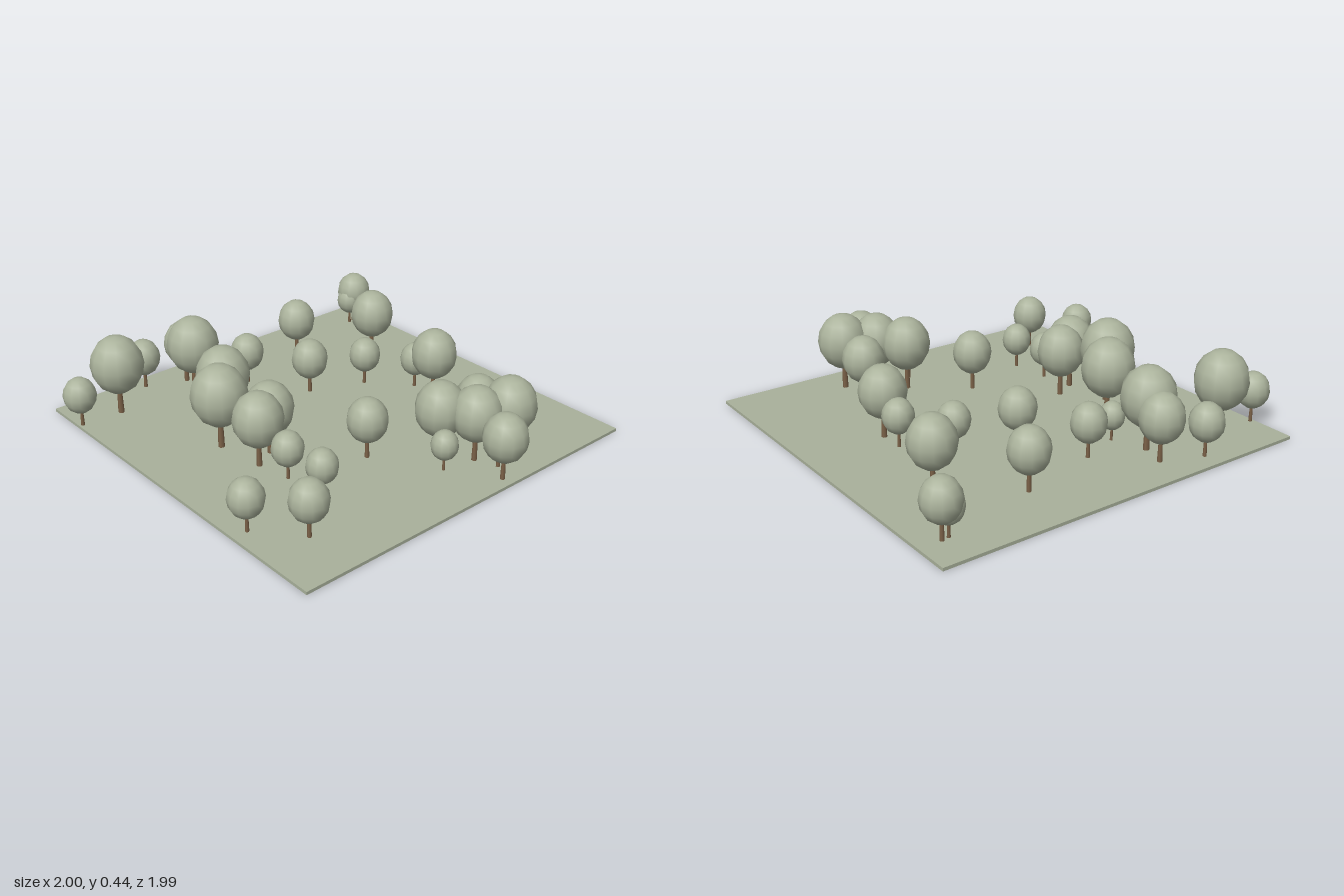
import * as THREE from 'three';

const material = (name, color) => {
  const m = new THREE.MeshStandardMaterial({ color });
  m.name = name;
  return m;
};

// Each tree: x, z, crown radius
const TREES = [
  [-0.92, -0.77, 0.081], [-0.71, -0.76, 0.131], [-0.47, -0.91, 0.084],
  [-0.27, -0.83, 0.107], [-0.305, -0.705, 0.131], [-0.245, -0.535, 0.062],
  [-0.04, -0.61, 0.086], [0.37, -0.71, 0.098], [0.89, -0.83, 0.091],
  [0.855, -0.825, 0.07], [0.685, -0.455, 0.113], [0.135, -0.32, 0.092],
  [0.41, -0.21, 0.08], [-0.39, -0.335, 0.131], [-0.535, -0.165, 0.136],
  [-0.395, 0.025, 0.117], [-0.505, 0.085, 0.12], [-0.475, 0.255, 0.077],
  [0.58, -0.015, 0.077], [0.58, 0.115, 0.115], [-0.085, 0.35, 0.098],
  [-0.865, 0.465, 0.083], [-0.45, 0.46, 0.075], [-0.695, 0.665, 0.09],
  [0.18, 0.55, 0.121], [0.425, 0.555, 0.106], [0.1, 0.66, 0.065],
  [0.27, 0.69, 0.121], [0.43, 0.745, 0.126], [0.245, 0.885, 0.106],
  [0.31, 0.8, 0.088],
];

export function createModel() {
  const model = new THREE.Group();
  model.name = 'woodland';
  const grass = material('pale sage ground', 0xa9b19b);
  const leaves = material('sage leaves', 0xabb39c);
  const bark = material('brown bark', 0x7c6248);

  // Thin ground slab
  const top = 0.015;
  const ground = new THREE.Mesh(new THREE.BoxGeometry(1.94, top, 1.94), grass);
  ground.name = 'ground';
  ground.position.set(0.03, top / 2, -0.03);
  model.add(ground);

  // Unit-size tree parts, scaled by crown radius
  const crownShape = new THREE.SphereGeometry(1, 12, 8).scale(1, 1.13, 1).translate(0, 2, 0);
  const trunkShape = new THREE.CylinderGeometry(0.08, 0.115, 1.3, 6).translate(0, 0.65, 0);

  TREES.forEach(([x, z, r], i) => {
    const tree = new THREE.Group();
    tree.name = `tree${i + 1}`;
    const crown = new THREE.Mesh(crownShape, leaves);
    crown.name = 'crown';
    const trunk = new THREE.Mesh(trunkShape, bark);
    trunk.name = 'trunk';
    tree.add(trunk, crown);
    tree.position.set(x, top, z);
    tree.scale.setScalar(r);
    model.add(tree);
  });
  return model;
}
